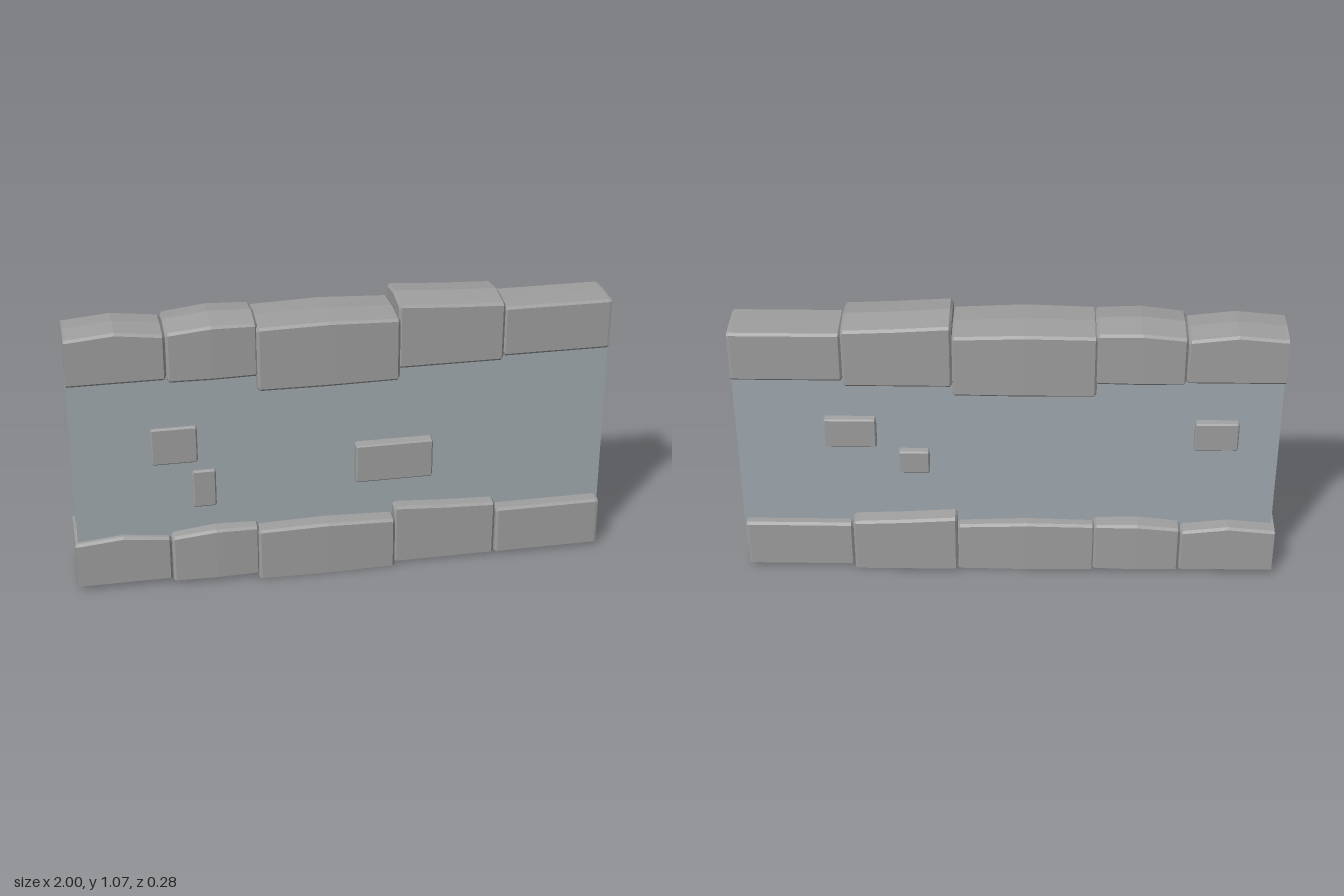
import * as THREE from 'three';

const stoneMat = new THREE.MeshStandardMaterial({ color: 0x9e9e9e, flatShading: true, side: THREE.DoubleSide });
const panelMat = new THREE.MeshStandardMaterial({ color: 0xa0a9af, side: THREE.DoubleSide });

// Chamfered block lofted along x. tops = heights at start, crest and end;
// insets = end chamfers; flare widens the open base on its -z side.
function block({ x0, x1, y0, tops, z0, z1, crown = 0, bulge = 0, bevel = 0.009, insets = [bevel, bevel], flare = 0, open = false }) {
  const ring = (x, top, inset, swell) => {
    const a = z1 - inset + swell, c = z0 + inset - swell, b = bevel, t = top - inset;
    const lo = open ? y0 : y0 + inset;
    const pts = [[a, t - b], [a - b, t], [(a + c) / 2, t + crown], [c + b, t], [c, t - b]];
    if (open) { pts.unshift([a, lo]); pts.push([c - flare, lo]); }
    else { pts.unshift([a - b, lo], [a, lo + b]); pts.push([c, lo + b], [c + b, lo]); }
    return pts.map(([z, y]) => [x, y, z]);
  };
  const rings = [
    ring(x0, tops[0], insets[0], 0),
    ring(x0 + bevel, tops[0], 0, 0),
    ring((x0 + x1) / 2, tops[1], 0, bulge),
    ring(x1 - bevel, tops[2], 0, 0),
    ring(x1, tops[2], insets[1], 0),
  ];
  const n = rings[0].length, index = [], last = (rings.length - 1) * n;
  for (let i = 0; i < rings.length - 1; i++) {
    for (let j = 0; j < (open ? n - 1 : n); j++) {
      const k = (j + 1) % n, a = i * n + j, b = i * n + k;
      index.push(a, a + n, b + n, a, b + n, b);
    }
  }
  for (let k = 1; k < n - 1; k++) {
    index.push(0, k, k + 1, last, last + k + 1, last + k);
  }
  const geo = new THREE.BufferGeometry();
  geo.setAttribute('position', new THREE.Float32BufferAttribute(rings.flat(2), 3));
  geo.setIndex(index);
  const flat = geo.toNonIndexed();
  flat.computeVertexNormals();
  return new THREE.Mesh(flat, stoneMat);
}

export function createModel() {
  const model = new THREE.Group();
  const add = (mesh, name, parent = model) => { mesh.name = name; parent.add(mesh); return mesh; };

  // Two thin wall faces, open at the ends
  for (const s of [1, -1]) {
    const panel = add(new THREE.Mesh(new THREE.PlaneGeometry(1.985, 0.82), panelMat), s > 0 ? 'frontWall' : 'backWall');
    panel.position.set(0.002, 0.49, s * 0.079);
    if (s < 0) panel.rotation.y = Math.PI;
  }

  // Stone courses: the same five stones cap the wall and form its open-bottomed base
  const stones = [
    { x0: -0.99, x1: -0.637, y0: 0.825, tops: [1.005, 1.02, 1.0], crown: 0.008, cap: [-0.11, 0.09], base: [-0.133, 0.1], foot: 0.02, insets: [0, 0.009] },
    { x0: -0.637, x1: -0.312, y0: 0.82, tops: [1.01, 1.027, 1.023], crown: 0.014, cap: [-0.112, 0.105], base: [-0.131, 0.12], foot: 0.018, bulge: 0.005 },
    { x0: -0.318, x1: 0.2, y0: 0.768, tops: [1.012, 1.018, 1.008], crown: 0.007, cap: [-0.115, 0.125], base: [-0.115, 0.136], foot: 0, bulge: 0.004 },
    { x0: 0.198, x1: 0.59, y0: 0.806, tops: [1.052, 1.04, 1.032], crown: 0.014, cap: [-0.119, 0.107], base: [-0.135, 0.122], foot: 0.01 },
    { x0: 0.592, x1: 0.995, y0: 0.815, tops: [1.008, 1.008, 1.008], crown: 0.002, cap: [-0.098, 0.092], base: [-0.113, 0.13], foot: 0.014, insets: [0.009, 0.002] },
  ];
  const capCourse = add(new THREE.Group(), 'topStones');
  const baseCourse = add(new THREE.Group(), 'bottomStones');
  stones.forEach((s, i) => {
    add(block({ ...s, z0: s.cap[0], z1: s.cap[1] }), `topStone${i + 1}`, capCourse);
    add(block({
      ...s, x0: s.x0 - 0.01, x1: s.x1 - 0.011, y0: s.foot, tops: s.tops.map((t) => t - 0.809),
      z0: s.base[0], z1: s.base[1], open: true,
    }), `bottomStone${i + 1}`, baseCourse);
  });

  // Small bricks set into each wall face: x range, y range, inner and outer depth
  const frontBricks = [
    [-0.705, -0.538, 0.49, 0.634, 0.035, 0.09],
    [-0.56, -0.475, 0.304, 0.452, 0.035, 0.09],
    [0.043, 0.332, 0.357, 0.508, 0.055, 0.112],
  ];
  const backBricks = [
    [-0.67, -0.48, 0.537, 0.656, 0.045, 0.104],
    [-0.4, -0.288, 0.425, 0.519, 0.045, 0.104],
    [0.68, 0.84, 0.537, 0.652, 0.045, 0.104],
  ];
  const frontGroup = add(new THREE.Group(), 'frontBricks');
  const backGroup = add(new THREE.Group(), 'backBricks');
  backGroup.rotation.y = Math.PI;
  for (const [group, bricks] of [[frontGroup, frontBricks], [backGroup, backBricks]]) {
    bricks.forEach(([x0, x1, yLow, yHigh, d0, d1], i) => {
      const brick = block({ x0, x1, y0: d0, tops: [d1, d1, d1], z0: -yHigh, z1: -yLow, bevel: 0.005, flare: 0.01, open: true });
      brick.rotation.x = Math.PI / 2;
      add(brick, `brick${i + 1}`, group);
    });
  }

  return model;
}
